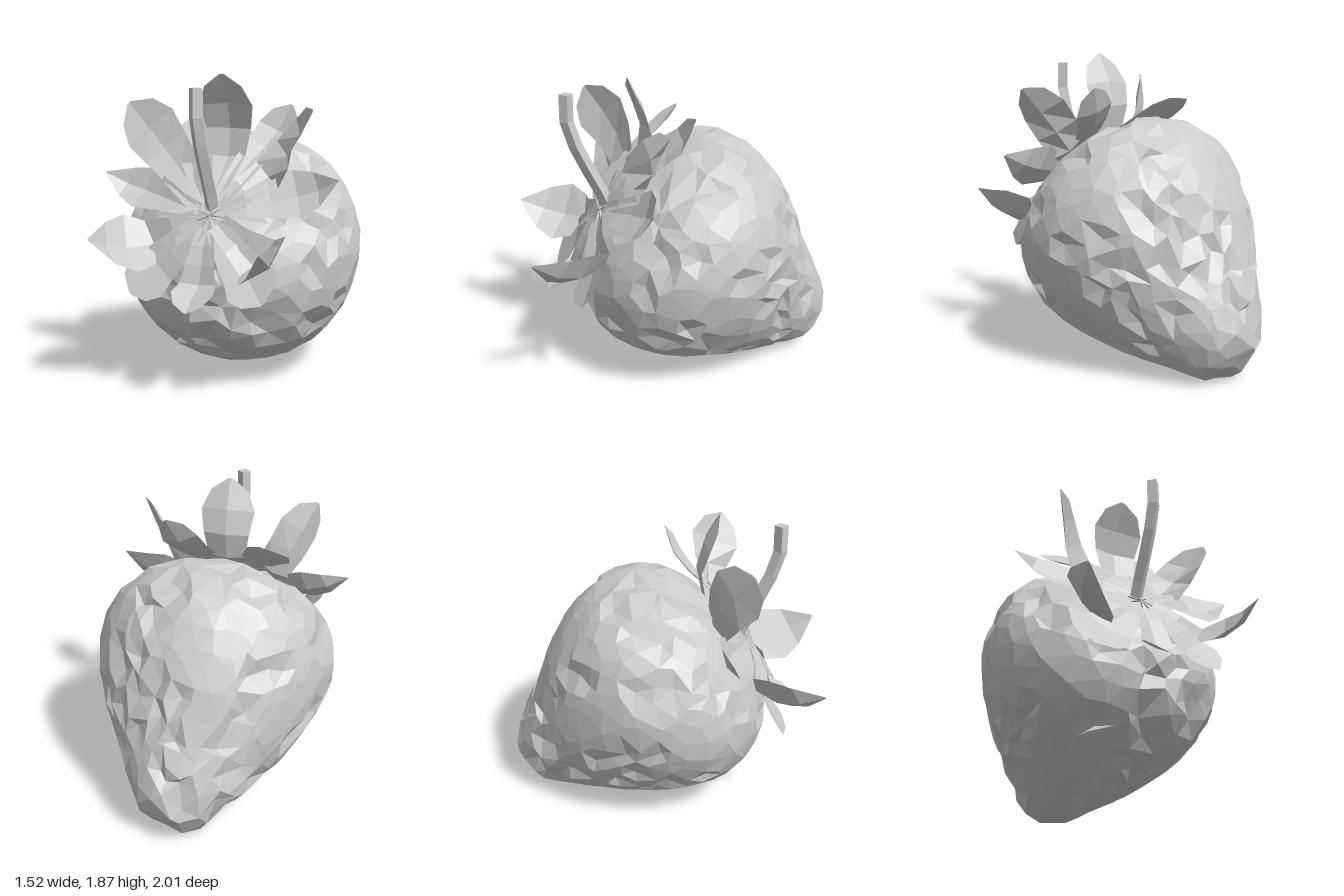
import * as THREE from 'three';

const V = (x, y, z) => new THREE.Vector3(x, y, z);
const material = new THREE.MeshStandardMaterial({ color: 0xcccccc, flatShading: true });
const leafMaterial = new THREE.MeshStandardMaterial({ color: 0xcccccc, flatShading: true, side: THREE.DoubleSide });

// Tilted fruit axis: from the tip (low, at the back) to the crown (high, in front)
const TIP = V(0, 0.13, -0.95), AXIS = V(0, 0.54, 0.84), UP = V(0, 0.84, -0.54);

// Fruit profile: distance along the axis, radius, offset of the section's centre
const profile = new THREE.CatmullRomCurve3([
  V(-0.02, 0, 0), V(0.02, 0.15, 0), V(0.17, 0.28, 0.01), V(0.4, 0.42, 0.015),
  V(0.63, 0.57, 0.04), V(0.9, 0.695, 0.06), V(1.17, 0.745, 0.06), V(1.4, 0.675, 0.05),
  V(1.55, 0.515, 0.03), V(1.65, 0.28, 0), V(1.69, 0, 0),
]);

// Point on the fruit: f runs 0..1 from tip to crown, angle goes round the axis
function surfacePoint(f, angle, lift = 0) {
  const p = profile.getPointAt(f), t = profile.getTangentAt(f);
  const r = Math.max(0, p.y + t.x * lift);
  const lean = 0.06 * (1 - f) ** 3; // the tip leans to one side
  return TIP.clone()
    .addScaledVector(AXIS, p.x - t.y * lift)
    .addScaledVector(UP, p.z + r * Math.sin(angle))
    .add(V(r * Math.cos(angle) + lean, 0, 0));
}

// Repeatable noise 0..1 from a direction, the same for shared corners
function noise(v, seed) {
  const k = Math.round(v.x * 1000) * 12.9898 + Math.round(v.y * 1000) * 78.233 + Math.round(v.z * 1000) * 37.719;
  const n = Math.sin(k + seed * 53.7) * 43758.5453;
  return n - Math.floor(n);
}

// Fruit: a faceted ball wrapped onto the profile, with uneven facets and seed dents
function makeFruit() {
  const geometry = new THREE.IcosahedronGeometry(1, 7);
  const pos = geometry.attributes.position;
  const d = V(0, 0, 0);
  for (let i = 0; i < pos.count; i++) {
    d.fromBufferAttribute(pos, i);
    const jitter = V(noise(d, 1) - 0.5, noise(d, 2) - 0.5, noise(d, 3) - 0.5).multiplyScalar(0.11);
    const dent = noise(d, 4) < 0.18 ? -0.028 : 0.003 + 0.01 * noise(d, 5);
    d.add(jitter).normalize();
    const p = surfacePoint(Math.acos(-d.z) / Math.PI, Math.atan2(d.y, d.x), dent);
    pos.setXYZ(i, p.x, Math.max(p.y, 0), p.z);
  }
  geometry.computeVertexNormals();
  return new THREE.Mesh(geometry, material);
}

// Surface through rows of points
function sheet(rows) {
  const n = rows[0].length, index = [];
  for (let i = 0; i < rows.length - 1; i++) {
    for (let j = 0; j < n - 1; j++) {
      const a = i * n + j, b = a + n;
      index.push(a, b, a + 1, a + 1, b, b + 1);
    }
  }
  const geometry = new THREE.BufferGeometry().setFromPoints(rows.flat());
  geometry.setIndex(index);
  geometry.computeVertexNormals();
  return new THREE.Mesh(geometry, leafMaterial);
}

// Collar: ragged cap lying on the crown
function makeCollar() {
  const rows = [1, 0.93, 0.86].map((f, i) => {
    const row = [];
    for (let k = 0; k <= 16; k++) {
      const ragged = i === 2 ? (k % 2) * 0.04 : 0;
      row.push(surfacePoint(f + ragged, (k / 16) * Math.PI * 2, 0.02 + (k % 2) * 0.012));
    }
    return row;
  });
  return sheet(rows);
}

// Leaf outlines: position along the leaf and share of the half width
const BLUNT = [[0, 0.4], [0.2, 0.55], [0.4, 0.7], [0.6, 0.85], [0.78, 1], [0.92, 0.7], [1, 0.08]];
const POINTED = [[0, 0.35], [0.2, 0.5], [0.4, 0.75], [0.62, 1], [0.8, 0.72], [1, 0.04]];

// Leaf: hugs the fruit from the crown, then bends out to its tip; folded along its
// middle. curl bows it away from the axis, sag bows it back towards the fruit.
function makeLeaf(tip, outline, halfWidth, fold, curl, sag, twist) {
  const rel = tip.clone().sub(TIP);
  const angle = Math.atan2(rel.dot(UP), rel.x);
  const around = V(-Math.sin(angle), 0, 0).addScaledVector(UP, Math.cos(angle));
  const outward = V(Math.cos(angle), 0, 0).addScaledVector(UP, Math.sin(angle));
  const bend = surfacePoint(0.83, angle, 0.045);
  const path = new THREE.CatmullRomCurve3([
    surfacePoint(0.97, angle, 0.03), surfacePoint(0.9, angle, 0.035), bend,
    bend.clone().lerp(tip, 0.5).addScaledVector(outward, curl).addScaledVector(AXIS, -sag), tip,
  ]);
  return sheet(outline.map(([u, w]) => {
    const p = path.getPointAt(u), t = path.getTangentAt(u);
    const across = around.clone().applyAxisAngle(t, twist * THREE.MathUtils.smoothstep(u, 0.35, 0.8));
    const normal = t.clone().cross(around);
    const sign = normal.dot(AXIS) < 0 ? -1 : 1;
    normal.crossVectors(t, across).normalize().multiplyScalar(sign);
    const edge = (side) => p.clone().addScaledVector(across, side * w * halfWidth)
      .addScaledVector(normal, fold * w);
    return [edge(-1), p, edge(1)];
  }));
}

// Stem: a thin, bent four-sided stalk with a closed end
function makeStem() {
  const path = new THREE.CatmullRomCurve3([
    V(0, 1.03, 0.42), V(0, 1.22, 0.5), V(0, 1.42, 0.6), V(0, 1.62, 0.67), V(0, 1.8, 0.67),
  ]);
  const group = new THREE.Group();
  const tube = new THREE.TubeGeometry(path, 5, 0.042, 4);
  const end = new THREE.CircleGeometry(0.042, 4);
  end.rotateX(-Math.PI / 2);
  end.translate(0, 1.8, 0.67);
  group.add(new THREE.Mesh(tube, leafMaterial), new THREE.Mesh(end, leafMaterial));
  return group;
}

export function createModel() {
  const model = new THREE.Group();
  const add = (name, part) => { part.name = name; model.add(part); };
  add('fruit', makeFruit());
  add('collar', makeCollar());
  add('stem', makeStem());
  // Leaves: tip position, outline, half width, depth of the fold, curl, sag, twist
  const leaves = [
    [0, 1.87, 0.3, BLUNT, 0.17, 0.03, 0.01, 0.08, 0],
    [0.33, 1.68, -0.02, BLUNT, 0.13, 0.03, 0, 0.05, 0],
    [-0.38, 1.58, -0.11, BLUNT, 0.14, 0.03, 0.01, 0.02, 0],
    [0.58, 1.67, 0.36, BLUNT, 0.17, 0.04, 0.03, 0.02, -0.75],
    [-0.53, 1.7, 0.46, BLUNT, 0.18, 0.04, 0.04, 0, 0.35],
    [0.73, 1.28, 0.35, POINTED, 0.16, 0.04, 0.01, 0.04, 0],
    [-0.76, 1.26, 0.35, POINTED, 0.14, 0.04, 0.01, 0.04, 0],
    [0.49, 0.96, 0.99, POINTED, 0.19, 0.06, 0.08, 0, 0],
    [-0.57, 0.95, 0.91, POINTED, 0.2, 0.06, 0.06, 0, 0],
    [0, 0.56, 0.84, BLUNT, 0.13, 0.03, -0.01, 0, 0],
    [0.4, 0.61, 0.7, BLUNT, 0.16, 0.02, 0, 0, 0],
    [-0.42, 0.6, 0.7, BLUNT, 0.17, 0.02, 0, 0, 0],
  ];
  leaves.forEach(([x, y, z, ...shape], i) => add(`leaf${i + 1}`, makeLeaf(V(x, y, z), ...shape)));
  return model;
}
